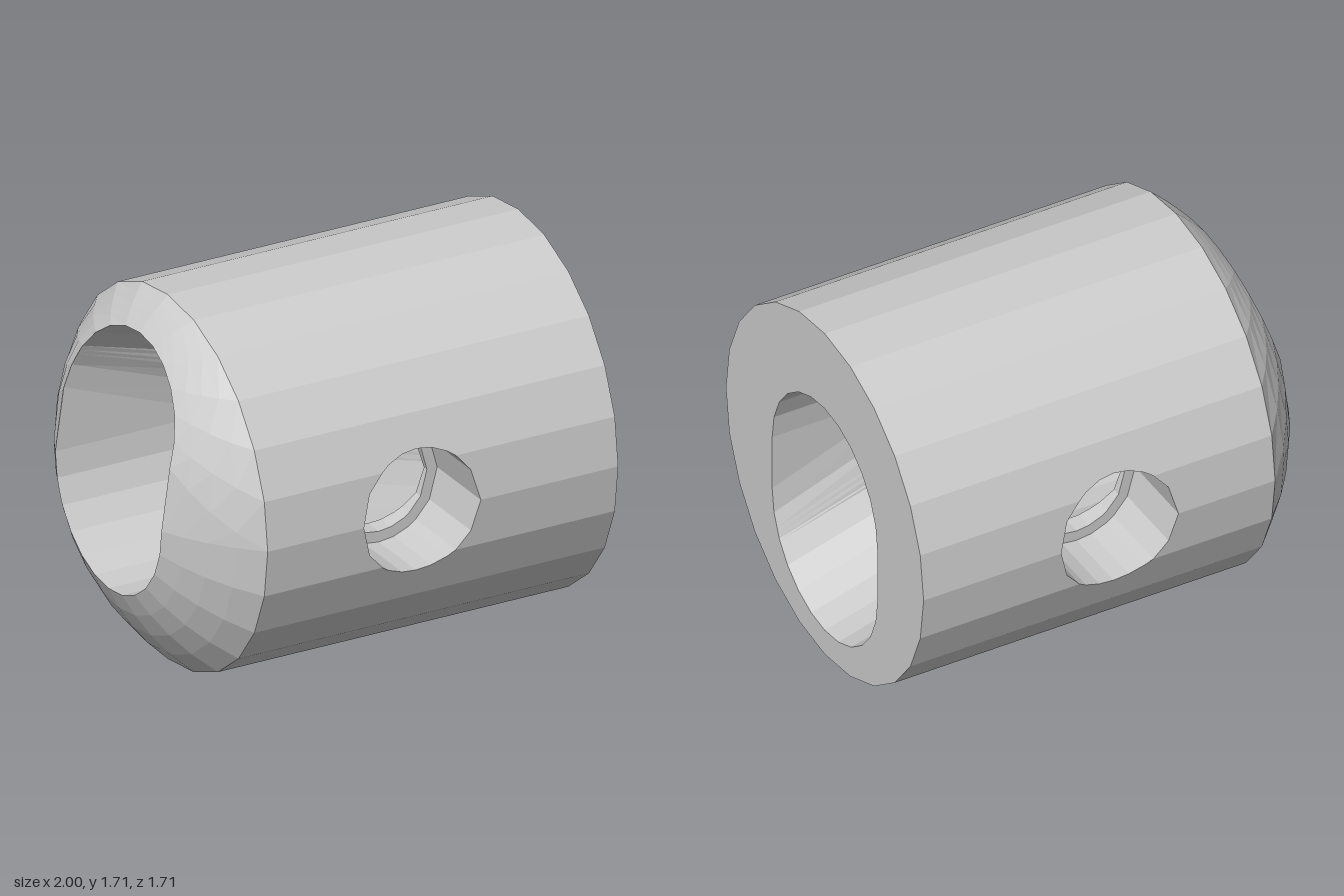
import * as THREE from 'three';

const AXIS_Y = 0.855;              // height of the main axis
const R = 0.855, BORE = 0.455;     // outer and bore radius
const SIDES = 24;
const PIVOT = 0.045;               // x of the side holes and the dome centre
const RIM = -0.71, END = 1;        // ends of the straight outer wall
const HOLE = 0.285, LIP = 0.235, LIP_Z = 0.48;
const SLOPE = 0.285;               // how quickly the bore widens from the pivot
const DOME2 = R * R + (PIVOT - RIM) ** 2;

const material = new THREE.MeshStandardMaterial({ color: 0xcccccc, flatShading: true });

// heights of the side hole outline, as fractions of its radius
const half = [0, 0.5, 0.776, 0.866, 0.968, 1];
const heights = [...half.slice(1).reverse().map(f => -f), ...half];

// z of a many-sided cylinder wall at height y
function wallZ(r, y) {
  const step = 2 * Math.PI / SIDES;
  const k = Math.min(Math.floor(Math.asin(Math.max(-1, Math.min(1, y / r))) / step + 1e-6), SIDES / 4 - 1);
  const a = k * step, b = a + step;
  const t = (y / r - Math.sin(a)) / (Math.sin(b) - Math.sin(a));
  return Math.max(0, r * (Math.cos(a) + t * (Math.cos(b) - Math.cos(a))));
}

// lines running along a tube: bottom, +z side, top, -z side; w = half width of the side hole
function tubeRows(r, hole) {
  const rows = [];
  for (let i = -SIDES / 4; i <= SIDES / 4; i++) rows.push(r * Math.sin(i * 2 * Math.PI / SIDES));
  if (hole) rows.push(...heights.filter(f => f !== 0).map(f => f * hole));
  rows.sort((a, b) => a - b);
  const side = rows.flatMap(y => {
    const row = { y, z: wallZ(r, y), w: Math.sqrt(Math.max(0, hole * hole - y * y)), up: y > 1e-6 };
    return Math.abs(y) < 1e-6 ? [{ ...row, up: false }, { ...row, up: true }] : [row];
  });
  return [...side, ...side.slice().reverse().map(p => ({ ...p, z: -p.z }))];
}

// skins neighbouring rows of points
function skin(name, strips) {
  const pos = [];
  const tri = (a, b, c) => {
    const n = b.clone().sub(a).cross(c.clone().sub(a));
    if (n.length() > 1e-8) for (const p of [a, b, c]) pos.push(p.x, p.y, p.z);
  };
  for (const rows of strips) {
    rows.forEach((row, i) => {
      const next = rows[(i + 1) % rows.length];
      for (let j = 0; j < row.length - 1; j++) {
        tri(row[j], row[j + 1], next[j + 1]);
        tri(row[j], next[j + 1], next[j]);
      }
    });
  }
  const g = new THREE.BufferGeometry();
  g.setAttribute('position', new THREE.Float32BufferAttribute(pos, 3));
  g.computeVertexNormals();
  const mesh = new THREE.Mesh(g, material);
  mesh.name = name;
  return mesh;
}

const V = (x, y, z) => new THREE.Vector3(x, y, z);
const outerPoint = (p, x) => V(x, p.y, p.z);

// the bore drops towards the flat end and rises towards the domed end
function borePoint(p, x) {
  const dx = x - PIVOT, reach = END - PIVOT;
  let shift = 0;
  if (p.up === dx < 0) {
    shift = SLOPE * reach * Math.max(0, Math.abs(dx) - p.w) / (reach - p.w) * -Math.sign(dx);
  }
  return V(x, p.y + shift, p.z);
}

const domeX = (y, z) => PIVOT - Math.sqrt(DOME2 - y * y - z * z);

// where a bore line meets the dome
function boreStart(p) {
  let x = -0.9;
  for (let i = 0; i < 20; i++) x = domeX(borePoint(p, x).y, p.z);
  return borePoint(p, x);
}

export function createModel() {
  const group = new THREE.Group();
  group.name = 'slottedSleeve';
  const body = new THREE.Group();
  body.name = 'body';
  body.position.y = AXIS_Y;
  group.add(body);

  // outer wall, split left and right of the side holes
  const outer = tubeRows(R, HOLE);
  body.add(skin('outerWall', [
    outer.map(p => [outerPoint(p, RIM), outerPoint(p, PIVOT - p.w)]),
    outer.map(p => [outerPoint(p, PIVOT + p.w), outerPoint(p, END)]),
  ]));

  // flared bore
  const inner = tubeRows(BORE, LIP);
  body.add(skin('bore', [
    inner.map(p => [borePoint(p, PIVOT - p.w), boreStart(p)]),
    inner.map(p => [borePoint(p, END), borePoint(p, PIVOT + p.w)]),
  ]));

  // flat end face and domed end
  const rim = tubeRows(R, 0), mouth = tubeRows(BORE, 0);
  body.add(skin('endFace', [rim.map((p, i) => [outerPoint(p, END), borePoint(mouth[i], END)])]));
  body.add(skin('domedEnd', [rim.map((p, i) => {
    const a = boreStart(mouth[i]);
    return [0, 0.25, 0.5, 0.75, 1].map(t => {
      const y = a.y + (p.y - a.y) * t, z = a.z + (p.z - a.z) * t;
      return V(domeX(y, z), y, z);
    });
  })]));

  // stepped side holes: lip at the bore, shoulder, wide pocket
  const loop = [
    ...heights.map(f => [Math.sqrt(1 - f * f), f]),
    ...heights.slice().reverse().map(f => [-Math.sqrt(1 - f * f), f]),
  ];
  const ringPoint = ([c, s], r, z) => V(PIVOT + c * r, s * r, z);
  const hole = skin('frontSideHole', [loop.map(d => [
    ringPoint(d, LIP, wallZ(BORE, d[1] * LIP)),
    ringPoint(d, LIP, LIP_Z),
    ringPoint(d, HOLE, LIP_Z),
    ringPoint(d, HOLE, wallZ(R, d[1] * HOLE)),
  ])]);
  const backHole = hole.clone();
  backHole.name = 'backSideHole';
  backHole.rotation.x = Math.PI;
  body.add(hole, backHole);

  return group;
}
